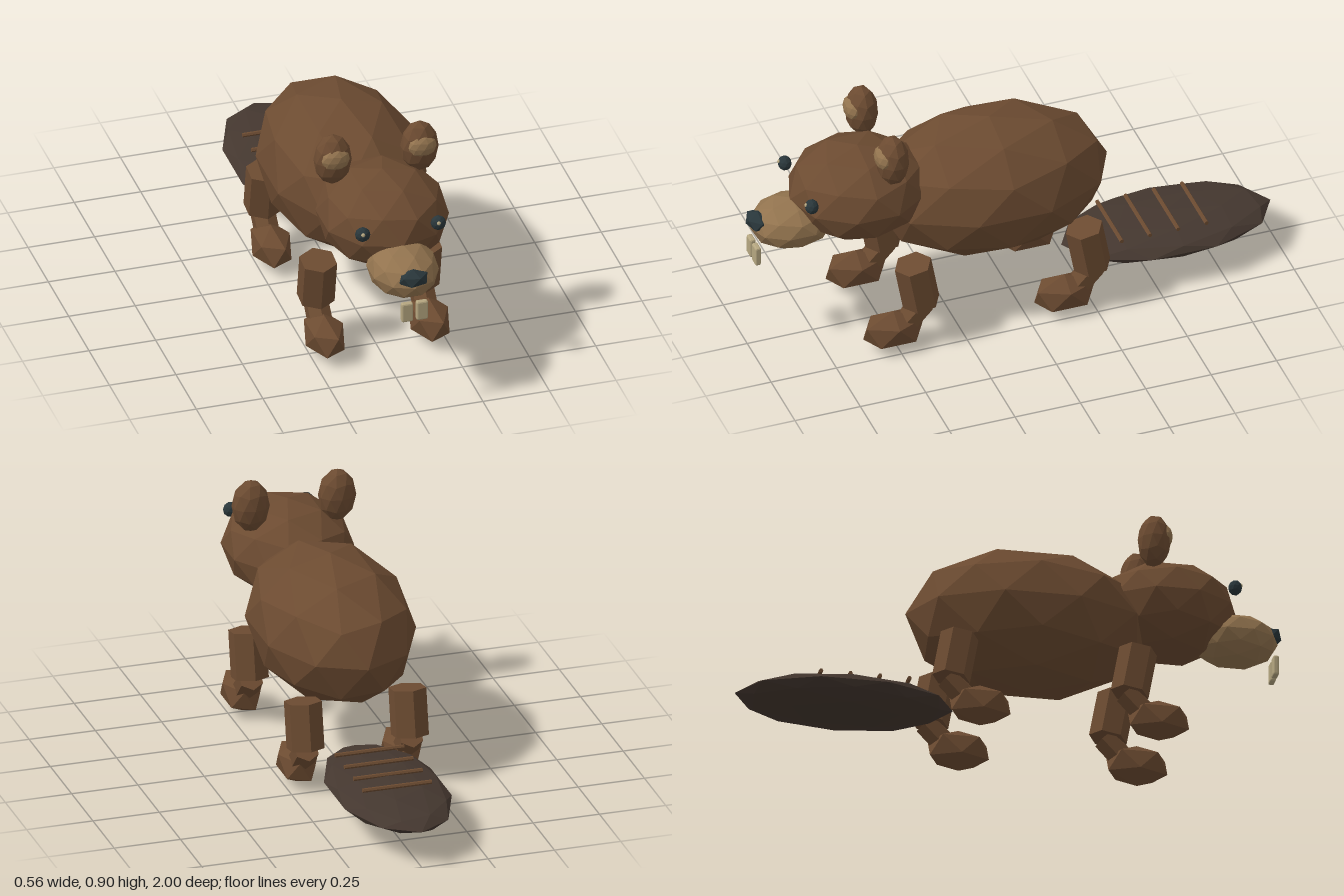
import * as THREE from 'three';
import { RoundedBoxGeometry } from 'three/addons/geometries/RoundedBoxGeometry.js';

function mat(name, color) {
  const m = new THREE.MeshStandardMaterial({ color, flatShading: true });
  m.name = name;
  return m;
}

export function createModel() {
  const fur = mat('brown fur', 0x6c4b31);
  const tan = mat('tan fur', 0x92734e);
  const dark = mat('dark slate', 0x29363a);
  const ivory = mat('ivory', 0xb5a680);
  const tailSkin = mat('tail skin', 0x44372f);
  const model = new THREE.Group();
  model.name = 'beaver';

  const add = (name, geometry, material, pos, parent = model) => {
    const mesh = new THREE.Mesh(geometry, material);
    mesh.name = name;
    mesh.position.set(...pos);
    parent.add(mesh);
    return mesh;
  };

  // Low-poly ball standing on a vertex, scaled to the given radii
  const ball = (name, material, pos, radii, detail = 1, parent = model) => {
    const g = new THREE.IcosahedronGeometry(1, detail);
    g.rotateX(-Math.atan((1 + Math.sqrt(5)) / 2));
    g.rotateY(Math.PI / 2);
    g.scale(...radii);
    return add(name, g, material, pos, parent);
  };

  // Body, head and face
  ball('body', fur, [0, 0.51, 0.075], [0.293, 0.27, 0.45]);
  ball('head', fur, [0, 0.6, 0.58], [0.238, 0.18, 0.26]);
  ball('muzzle', tan, [0, 0.512, 0.83], [0.128, 0.095, 0.16]);
  ball('nose', dark, [0, 0.54, 0.96], [0.06, 0.035, 0.047], 0);

  for (const [side, s] of [['left', 1], ['right', -1]]) {
    // Eyes with a small glint
    ball(side + 'Eye', dark, [s * 0.142, 0.658, 0.805], [0.028, 0.028, 0.025]);
    ball(side + 'EyeGlint', ivory, [s * 0.142 - 0.004, 0.667, 0.824], [0.008, 0.008, 0.008]);

    // Ears
    ball(side + 'Ear', fur, [s * 0.163, 0.805, 0.504], [0.07, 0.1, 0.06]);
    ball(side + 'InnerEar', tan, [s * 0.163, 0.822, 0.538], [0.054, 0.045, 0.033]);

    // Front teeth
    add(side + 'Tooth', new RoundedBoxGeometry(0.043, 0.076, 0.022, 1, 0.006), ivory,
      [s * 0.028, 0.412, 0.975]);

    // Legs: upper prism, slanted ankle and faceted foot
    for (const [end, z] of [['Front', 0.513], ['Rear', -0.141]]) {
      const leg = new THREE.Group();
      leg.name = side + end + 'Leg';
      leg.position.set(s * 0.197, 0, z);
      model.add(leg);
      add('upperLeg', new THREE.CylinderGeometry(0.07, 0.07, 0.175, 6), fur,
        [0, 0.262, -0.09], leg).rotation.x = 0.18;
      add('ankle', new THREE.CylinderGeometry(0.047, 0.047, 0.11, 6), fur,
        [0, 0.135, -0.08], leg).rotation.x = -0.75;
      ball('foot', fur, [0, 0.08, 0], [0.078, 0.079, 0.127], 0, leg);
    }
  }

  // Flat tail with raised ridges
  ball('tail', tailSkin, [0, 0.14, -0.6], [0.212, 0.055, 0.4]);
  for (let i = 0; i < 4; i++) {
    add('tailRidge', new THREE.CylinderGeometry(0.008, 0.008, 0.26, 6), fur,
      [0, 0.197, -0.385 - i * 0.108]).rotation.z = Math.PI / 2;
  }
  return model;
}
